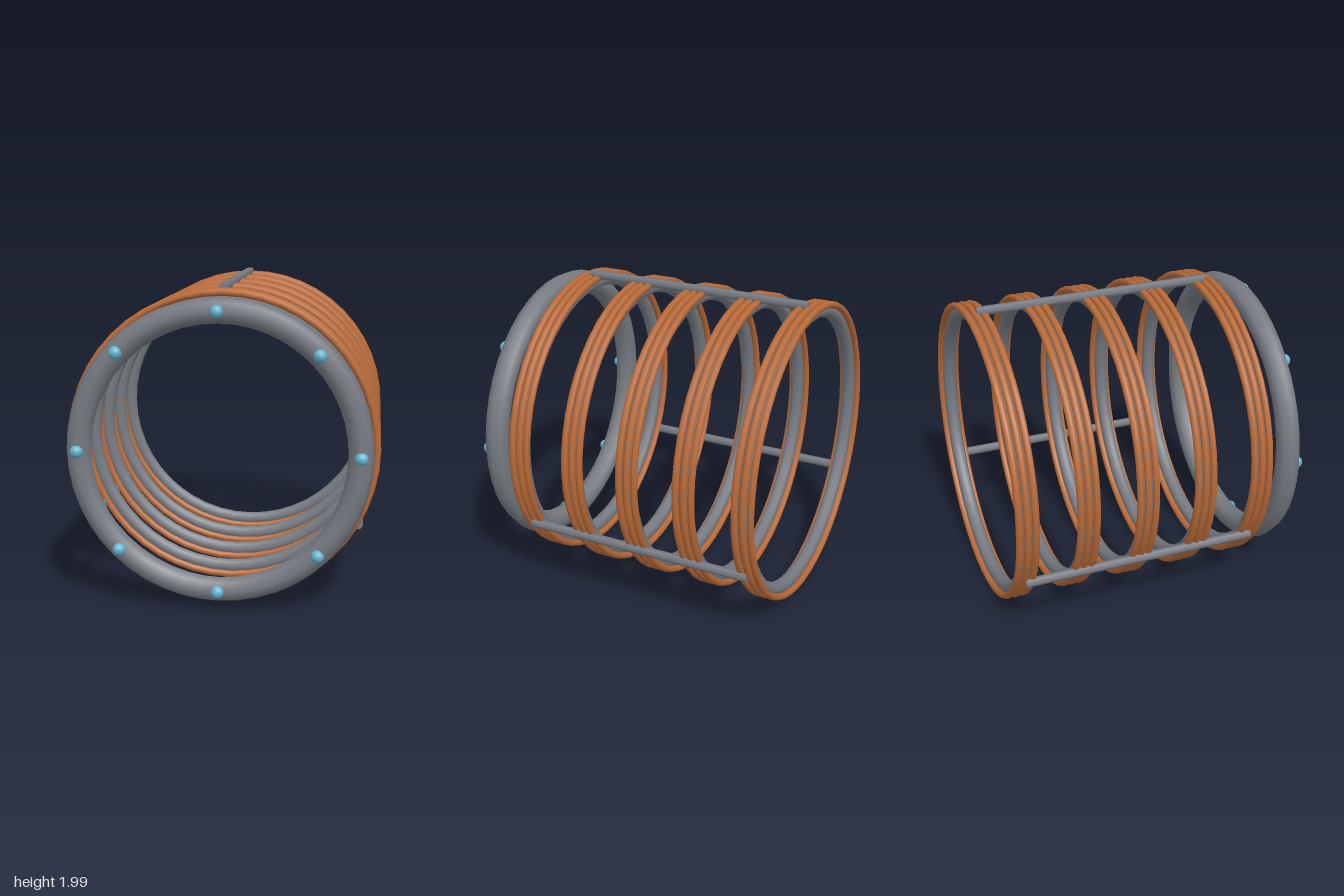
import * as THREE from 'three';

const CENTER_Y = 0.99;

export function createModel() {
  const steel = new THREE.MeshStandardMaterial({ color: 0x777b82 });
  steel.name = 'steel grey';
  const copper = new THREE.MeshStandardMaterial({ color: 0xb96a38 });
  copper.name = 'copper';
  const blue = new THREE.MeshStandardMaterial({ color: 0x66b4d2 });
  blue.name = 'light blue';

  const model = new THREE.Group();
  model.name = 'coilTunnel';
  const add = (parent, name, geometry, material, x, y, z) => {
    const mesh = new THREE.Mesh(geometry, material);
    mesh.name = name;
    mesh.position.set(x, y, z);
    parent.add(mesh);
    return mesh;
  };

  // Five coils: a grey core ring wound with three copper strands
  const coreGeo = new THREE.TorusGeometry(0.92, 0.047, 8, 48);
  const strandGeo = new THREE.TorusGeometry(0.961, 0.023, 8, 48);
  for (let i = 0; i < 5; i++) {
    const coil = new THREE.Group();
    coil.name = `coil${i + 1}`;
    coil.position.set(0, CENTER_Y, 0.637 - i * 0.3855);
    add(coil, 'coreRing', coreGeo, steel, 0, 0, 0);
    for (const s of [-1, 0, 1]) add(coil, 'copperStrand', strandGeo, copper, 0, 0, s * 0.052);
    model.add(coil);
  }

  // Three hexagonal struts joining the coils
  const strutGeo = new THREE.CylinderGeometry(0.03, 0.03, 1.54, 6);
  strutGeo.rotateY(Math.PI / 6).rotateX(Math.PI / 2);
  for (const degrees of [90, 210, 330]) {
    const a = THREE.MathUtils.degToRad(degrees);
    add(model, 'strut', strutGeo, steel, 0.984 * Math.cos(a), CENTER_Y + 0.984 * Math.sin(a), -0.134);
  }

  // Front entry ring with eight lamps
  add(model, 'entryRing', new THREE.TorusGeometry(0.867, 0.078, 8, 48), steel, 0, CENTER_Y, 0.869);
  const lampGeo = new THREE.SphereGeometry(0.041, 16, 12);
  for (let i = 0; i < 8; i++) {
    const a = (i * Math.PI) / 4;
    add(model, 'lamp', lampGeo, blue, 0.867 * Math.cos(a), CENTER_Y + 0.867 * Math.sin(a), 0.933);
  }
  return model;
}
